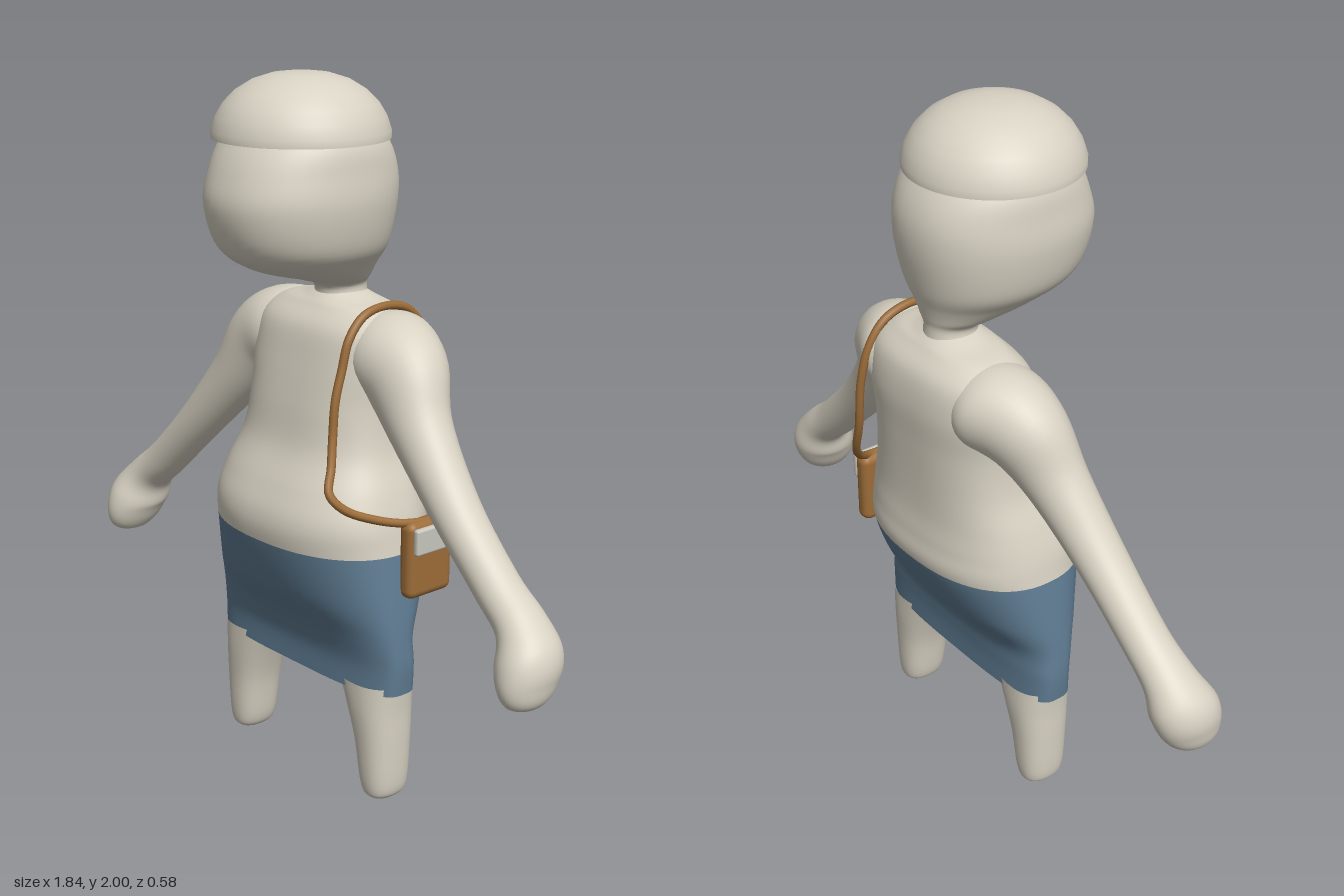
import * as THREE from 'three';
import { RoundedBoxGeometry } from 'three/addons/geometries/RoundedBoxGeometry.js';

const material = (name, color) => {
  const m = new THREE.MeshStandardMaterial({ color });
  m.name = name;
  return m;
};

// Smooth interpolation of section rows, component by component
function sample(rows, i, t) {
  const at = (k) => rows[Math.min(Math.max(k, 0), rows.length - 1)];
  const [a, b, c, d] = [at(i - 1), at(i), at(i + 1), at(i + 2)];
  return b.map((_, k) => {
    const m0 = (c[k] - a[k]) / 2, m1 = (d[k] - b[k]) / 2, t2 = t * t, t3 = t2 * t;
    return (2 * t3 - 3 * t2 + 1) * b[k] + (t3 - 2 * t2 + t) * m0
      + (3 * t2 - 2 * t3) * c[k] + (t3 - t2) * m1;
  });
}

// Loft through sections [x, y, z, radius across, radius in z, squareness]
// upright keeps rings level; otherwise they turn with the path in the xy plane
function loft(sections, { upright = true, steps = 6, segs = 40 } = {}) {
  const rings = [];
  for (let i = 0; i < sections.length - 1; i++)
    for (let j = 0; j < steps; j++) rings.push(sample(sections, i, j / steps));
  rings.push(sections[sections.length - 1]);
  const pos = [], idx = [];
  rings.forEach(([x, y, z, ra, rz, p], i) => {
    const a = rings[Math.max(i - 1, 0)], b = rings[Math.min(i + 1, rings.length - 1)];
    const len = Math.hypot(b[0] - a[0], b[1] - a[1]) || 1;
    const ux = upright ? 1 : (b[1] - a[1]) / len, uy = upright ? 0 : -(b[0] - a[0]) / len;
    const power = (v) => Math.sign(v) * Math.pow(Math.abs(v), 2 / p);
    for (let j = 0; j < segs; j++) {
      const th = (j / segs) * Math.PI * 2;
      const u = power(Math.cos(th)) * Math.max(ra, 0);
      pos.push(x + ux * u, y + uy * u, z + power(Math.sin(th)) * Math.max(rz, 0));
      if (i === rings.length - 1) continue;
      const k = (j + 1) % segs, n = i * segs;
      idx.push(n + j, n + segs + j, n + k, n + k, n + segs + j, n + segs + k);
    }
  });
  const g = new THREE.BufferGeometry();
  g.setAttribute('position', new THREE.Float32BufferAttribute(pos, 3));
  g.setIndex(idx);
  g.computeVertexNormals();
  return g;
}

export function createModel() {
  const cream = material('cream', 0xd8d2c3);
  const blue = material('skirt blue', 0x5f7c92);
  const brown = material('leather brown', 0x9c6c38);
  const grey = material('pale grey', 0xc9c7be);
  const model = new THREE.Group();
  model.name = 'figure';
  const add = (name, geometry, mat, parent = model) => {
    const mesh = new THREE.Mesh(geometry, mat);
    mesh.name = name;
    parent.add(mesh);
    return mesh;
  };

  // Body: one surface, blue up to the waist and cream above
  const steps = 6, segs = 64;
  const bodyGeometry = loft([
    [0, 0.34, -0.035, 0.37, 0.09, 3.2],
    [0, 0.42, -0.035, 0.375, 0.092, 3],
    [0, 0.50, -0.03, 0.37, 0.115, 2.6],
    [0, 0.60, -0.04, 0.36, 0.18, 2.3],
    [0, 0.74, -0.05, 0.34, 0.23, 2.3],
    [0, 0.82, -0.048, 0.328, 0.23, 2.4],
    [0, 0.90, -0.06, 0.305, 0.21, 2.5],
    [0, 1.00, -0.085, 0.27, 0.185, 2.6],
    [0, 1.12, -0.10, 0.26, 0.175, 2.6],
    [0, 1.23, -0.115, 0.27, 0.165, 2.6],
    [0, 1.32, -0.12, 0.26, 0.145, 2.5],
    [0, 1.37, -0.12, 0.20, 0.105, 2.3],
    [0, 1.39, -0.12, 0.12, 0.085, 2],
    [0, 1.41, -0.12, 0.06, 0.06, 2],
  ], { steps, segs });
  const split = 4 * steps * segs * 6;
  bodyGeometry.addGroup(0, split, 0);
  bodyGeometry.addGroup(split, bodyGeometry.index.count - split, 1);
  add('bodyAndSkirt', bodyGeometry, [blue, cream]);
  add('underside', loft([
    [0, 0.38, -0.035, 0, 0, 3.2],
    [0, 0.34, -0.035, 0.37, 0.09, 3.2],
  ], { segs }), cream);

  // Head and neck
  add('head', loft([
    [0, 1.36, -0.12, 0.085, 0.08, 2],
    [0, 1.42, -0.12, 0.07, 0.075, 2],
    [0, 1.45, -0.085, 0.105, 0.115, 2],
    [0, 1.49, -0.02, 0.15, 0.19, 2.1],
    [0, 1.55, 0.012, 0.2, 0.24, 2.2],
    [0, 1.66, 0.02, 0.225, 0.268, 2.2],
    [0, 1.75, 0.013, 0.222, 0.258, 2.2],
    [0, 1.83, 0.01, 0.208, 0.222, 2.1],
    [0, 1.90, 0.01, 0.15, 0.16, 2],
    [0, 1.92, 0.01, 0, 0, 2],
  ]), cream);

  // Domed cap with a flat underside
  const cap = new THREE.Group();
  cap.name = 'cap';
  cap.position.set(0, 1.83, 0.02);
  model.add(cap);
  const profile = [[0.238, 0], [0.238, 0.02], [0.226, 0.056], [0.205, 0.09], [0.173, 0.122],
    [0.13, 0.148], [0.08, 0.164], [0.04, 0.169], [0, 0.17]];
  add('capDome', new THREE.LatheGeometry(profile.map(([r, y]) => new THREE.Vector2(r, y)), 48), cream, cap);
  add('capUnderside', new THREE.CircleGeometry(0.238, 48).rotateX(Math.PI / 2), cream, cap);

  // Arms and legs, mirrored
  for (const [s, side] of [[1, 'left'], [-1, 'right']]) {
    const mirror = (rows) => rows.map(([x, ...rest]) => [s * x, ...rest]);
    add(side + 'Arm', loft(mirror([
      [0.12, 1.27, -0.125, 0.09, 0.10, 2],
      [0.20, 1.255, -0.125, 0.125, 0.135, 2],
      [0.29, 1.21, -0.105, 0.125, 0.115, 2],
      [0.385, 1.09, -0.07, 0.088, 0.085, 2],
      [0.54, 0.92, -0.045, 0.066, 0.07, 2],
      [0.70, 0.765, -0.035, 0.06, 0.066, 2],
      [0.79, 0.69, -0.03, 0.062, 0.075, 2],
      [0.835, 0.62, -0.015, 0.08, 0.098, 2],
      [0.85, 0.555, 0.0, 0.066, 0.092, 2],
      [0.857, 0.51, 0.01, 0.042, 0.06, 2],
      [0.858, 0.492, 0.01, 0, 0, 2],
    ]), { upright: false }), cream);
    add(side + 'Leg', loft(mirror([
      [0.295, 0.005, -0.035, 0, 0, 2.3],
      [0.295, 0.012, -0.035, 0.035, 0.05, 2.3],
      [0.293, 0.05, -0.035, 0.056, 0.068, 2.3],
      [0.285, 0.18, -0.035, 0.07, 0.078, 2.3],
      [0.27, 0.28, -0.035, 0.087, 0.086, 2.3],
      [0.255, 0.36, -0.035, 0.108, 0.088, 2.3],
    ])), cream);
  }

  // Shoulder bag: looped strap, pouch and flap
  const bag = new THREE.Group();
  bag.name = 'shoulderBag';
  model.add(bag);
  const strapPath = new THREE.CatmullRomCurve3([
    [0.195, 1.39, -0.12], [0.197, 1.375, -0.03], [0.2, 1.32, 0.025], [0.2, 1.24, 0.05],
    [0.203, 1.16, 0.075], [0.21, 1.06, 0.09], [0.228, 0.99, 0.11], [0.255, 0.93, 0.14],
    [0.285, 0.89, 0.115], [0.325, 0.855, 0.04], [0.36, 0.835, -0.05], [0.365, 0.835, -0.15],
    [0.335, 0.865, -0.2], [0.275, 0.94, -0.255], [0.225, 1.05, -0.275], [0.205, 1.2, -0.275],
    [0.197, 1.3, -0.25], [0.195, 1.365, -0.2],
  ].map((p) => new THREE.Vector3(...p)), true);
  add('strap', new THREE.TubeGeometry(strapPath, 140, 0.012, 8, true), brown, bag);
  add('pouch', new RoundedBoxGeometry(0.055, 0.22, 0.16, 4, 0.024), brown, bag)
    .position.set(0.365, 0.73, -0.11);
  add('flap', new RoundedBoxGeometry(0.02, 0.075, 0.145, 3, 0.008), grey, bag)
    .position.set(0.4, 0.79, -0.11);

  return model;
}
